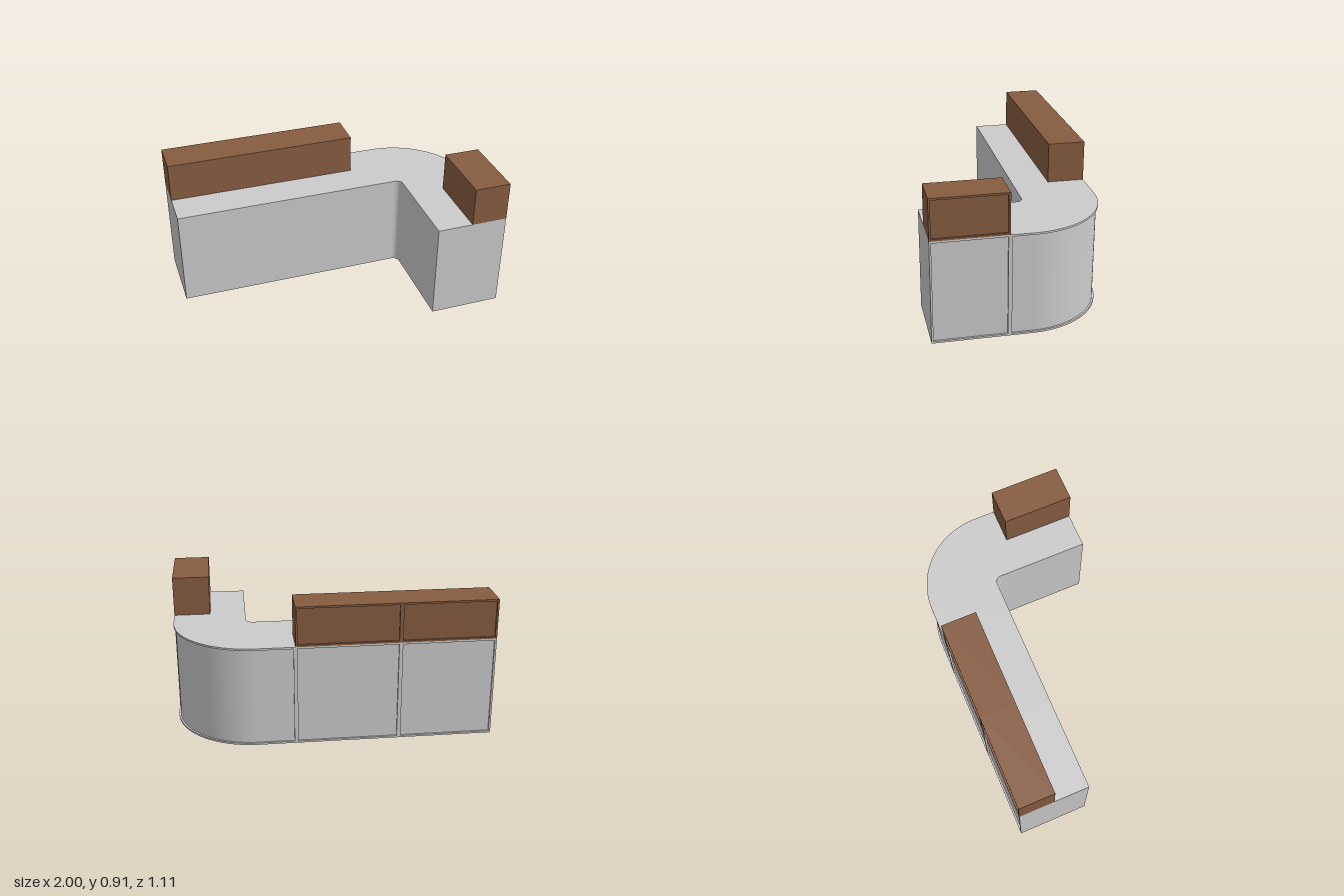
import * as THREE from 'three';
import { toCreasedNormals } from 'three/addons/utils/BufferGeometryUtils.js';

const BACK = 0.557;        // half depth of the whole desk
const DEPTH = 0.467;       // counter depth
const HEIGHT = 0.65;       // counter height
const TOP_DEPTH = 0.235;   // raised ledge depth
const TOP_HEIGHT = 0.257;  // raised ledge height
const RIM = 0.012;         // frame width and panel recess
const X0 = 0.25, Z0 = 0.092; // where the corner unit meets the straight ones

const grey = new THREE.MeshStandardMaterial({ color: 0xcccccc });
const brown = new THREE.MeshStandardMaterial({ color: 0x875c40 });

function add(parent, name, geometry, material) {
  const mesh = new THREE.Mesh(geometry, material);
  mesh.name = name;
  parent.add(mesh);
  return mesh;
}

// Straight unit: solid body with a framed, recessed panel on its outer side.
// Local frame: x 0..width, y 0..height, outer face at z = 0 facing -z.
function straightUnit(name, width, height, depth, material) {
  const unit = new THREE.Group();
  unit.name = name;
  const body = new THREE.BoxGeometry(width, height, depth - RIM);
  body.translate(width / 2, height / 2, (depth + RIM) / 2);
  add(unit, 'body', body, material);

  const frame = new THREE.Shape();
  frame.moveTo(0, 0).lineTo(width, 0).lineTo(width, height).lineTo(0, height).closePath();
  const hole = new THREE.Path();
  hole.moveTo(RIM, RIM).lineTo(RIM, height - RIM)
    .lineTo(width - RIM, height - RIM).lineTo(width - RIM, RIM).closePath();
  frame.holes.push(hole);
  add(unit, 'panelFrame', new THREE.ExtrudeGeometry(frame, { depth: RIM, bevelEnabled: false }), material);
  return unit;
}

// Plan of the rounded corner (shape y is -z), outer side pulled in by inset.
function cornerPlan(inset) {
  const cx = 0.49, cy = BACK - 0.51, inner = DEPTH - 0.51;
  const s = new THREE.Shape();
  s.moveTo(X0, BACK - DEPTH);
  s.lineTo(cx, BACK - DEPTH);
  s.absarc(cx, cy, -inner, Math.PI / 2, 0, true);
  s.lineTo(1 - DEPTH, -Z0);
  s.lineTo(1 - inset, -Z0);
  s.lineTo(1 - inset, cy);
  s.absarc(cx, cy, 0.51 - inset, 0, Math.PI / 2, false);
  s.lineTo(X0, BACK - inset);
  s.closePath();
  return s;
}

function cornerSlab(parent, name, inset, y, height) {
  const g = new THREE.ExtrudeGeometry(cornerPlan(inset), { depth: height, bevelEnabled: false, curveSegments: 24 });
  g.rotateX(-Math.PI / 2);
  add(parent, name, toCreasedNormals(g, 0.5), grey).position.y = y;
}

export function createModel() {
  const model = new THREE.Group();
  model.name = 'cornerDesk';

  // Long wing: two counter units with ledges on top
  const splits = [-1, -0.4, X0];
  for (let i = 0; i < 2; i++) {
    const w = splits[i + 1] - splits[i];
    const counter = straightUnit('longCounter', w, HEIGHT, DEPTH, grey);
    counter.position.set(splits[i], 0, -BACK);
    const ledge = straightUnit('longLedge', w, TOP_HEIGHT, TOP_DEPTH, brown);
    ledge.position.set(splits[i], HEIGHT, -BACK);
    model.add(counter, ledge);
  }

  // Short wing: one counter unit with a ledge, turned to face +x
  const counter = straightUnit('shortCounter', BACK - Z0, HEIGHT, DEPTH, grey);
  const ledge = straightUnit('shortLedge', BACK - Z0, TOP_HEIGHT, TOP_DEPTH, brown);
  counter.position.set(1, 0, Z0);
  ledge.position.set(1, HEIGHT, Z0);
  for (const unit of [counter, ledge]) {
    unit.rotation.y = -Math.PI / 2;
    model.add(unit);
  }

  // Rounded corner: recessed body between top and bottom rims
  const corner = new THREE.Group();
  corner.name = 'cornerCounter';
  cornerSlab(corner, 'bottomRim', 0, 0, RIM);
  cornerSlab(corner, 'curvedBody', RIM, RIM, HEIGHT - 2 * RIM);
  cornerSlab(corner, 'topRim', 0, HEIGHT - RIM, RIM);

  // Upright frame strips at both ends of the curved panel
  const strip = new THREE.BoxGeometry(RIM, HEIGHT - 2 * RIM, RIM);
  add(corner, 'endStrip', strip, grey).position.set(X0 + RIM / 2, HEIGHT / 2, -BACK + RIM / 2);
  add(corner, 'endStrip', strip, grey).position.set(1 - RIM / 2, HEIGHT / 2, Z0 - RIM / 2);
  model.add(corner);

  return model;
}
